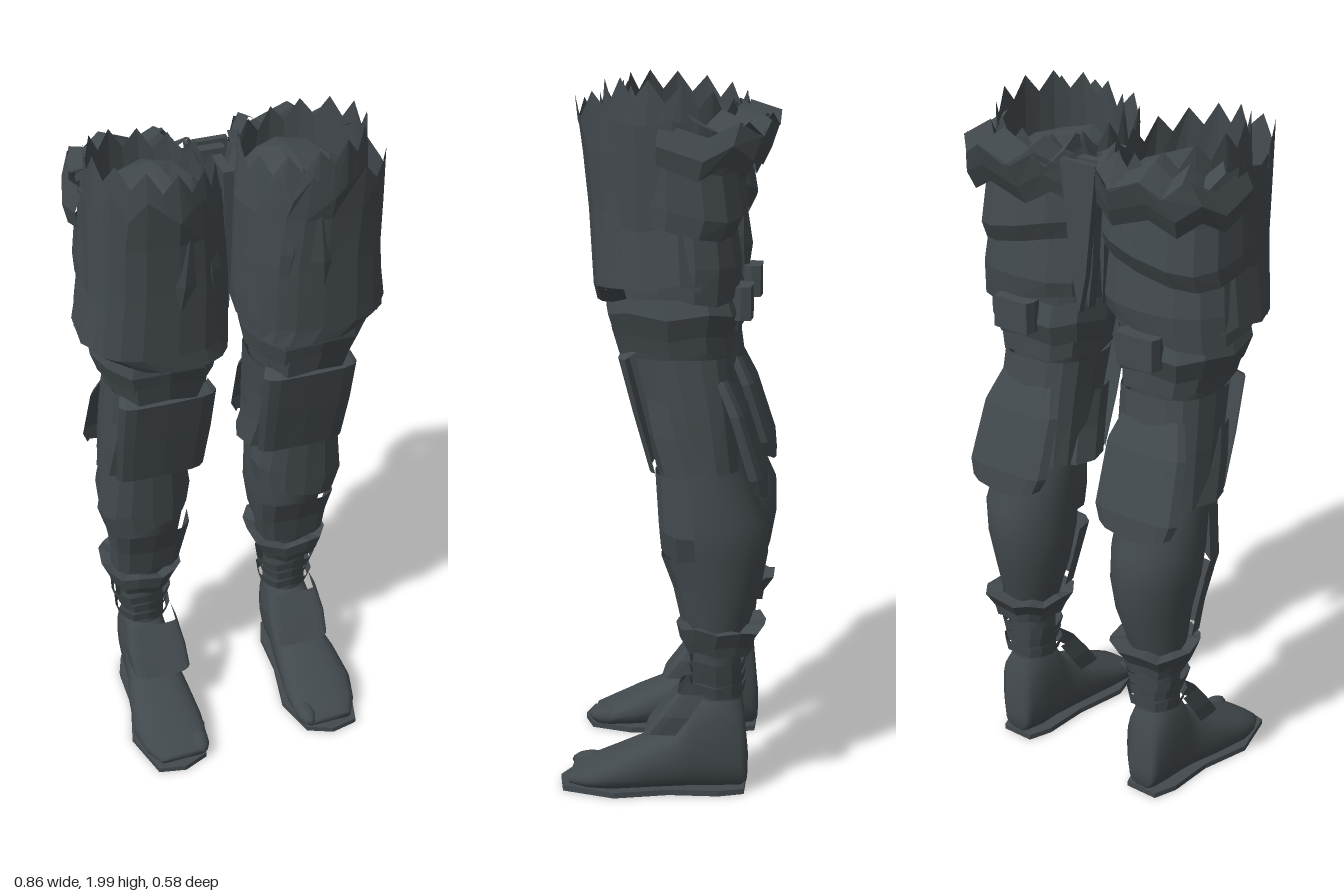
import * as THREE from 'three';

const D = Math.PI / 180;

// Loft: rows of [y, xMin, xMax, zMin, zMax] from low to high. Angle 0 is +x, 90 is +z.
// p < 1 makes the section boxy; lift(angle, row, column) shifts y for slanted or torn edges.
function loft(rows, { n = 16, from = 0, to = 360, p = 1, flat = true, cap = '', lift = () => 0 } = {}) {
  const closed = to - from >= 360, cols = closed ? n : n + 1;
  const pos = [], idx = [];
  const pw = (v) => Math.sign(v) * Math.pow(Math.abs(v), p);
  rows.forEach(([y, x0, x1, z0, z1], i) => {
    for (let j = 0; j < cols; j++) {
      const a = (from + (to - from) * j / n) * D;
      pos.push((x0 + x1) / 2 + (x1 - x0) / 2 * pw(Math.cos(a)), y + lift(a / D, i, j),
        (z0 + z1) / 2 + (z1 - z0) / 2 * pw(Math.sin(a)));
    }
  });
  for (let i = 0; i < rows.length - 1; i++) {
    for (let j = 0; j < n; j++) {
      const a = i * cols + j, b = i * cols + (j + 1) % cols;
      idx.push(a, a + cols, b, b, a + cols, b + cols);
    }
  }
  const addCap = (i, up) => {
    const [y, x0, x1, z0, z1] = rows[i], c = pos.length / 3;
    pos.push((x0 + x1) / 2, y, (z0 + z1) / 2);
    for (let j = 0; j < n; j++) {
      const a = i * cols + j, b = i * cols + (j + 1) % cols;
      idx.push(...(up ? [c, b, a] : [c, a, b]));
    }
  };
  if (cap.includes('b')) addCap(0, false);
  if (cap.includes('t')) addCap(rows.length - 1, true);
  let g = new THREE.BufferGeometry();
  g.setAttribute('position', new THREE.Float32BufferAttribute(pos, 3));
  g.setIndex(idx);
  if (flat) g = g.toNonIndexed();
  g.computeVertexNormals();
  return g;
}

// Mirrored copy across x with the corner order turned round
function mirror(src) {
  const g = src.index ? src.toNonIndexed() : src.clone();
  for (const key of ['position', 'normal']) {
    const at = g.attributes[key];
    for (let i = 0; i < at.count; i += 3) {
      const v = [0, 2, 1].map((k) => [-at.getX(i + k), at.getY(i + k), at.getZ(i + k)]);
      v.forEach((q, k) => at.setXYZ(i + k, ...q));
    }
  }
  return g;
}

export function createModel() {
  const model = new THREE.Group();
  const left = new THREE.Group(), right = new THREE.Group();
  left.name = 'leftLeg';
  right.name = 'rightLeg';
  model.add(left, right);
  const slate = new THREE.MeshStandardMaterial({ color: 0x42494d, side: THREE.DoubleSide });
  slate.name = 'dark slate';

  const add = (name, g) => {
    const a = new THREE.Mesh(g, slate), b = new THREE.Mesh(mirror(g), slate);
    a.name = b.name = name;
    left.add(a);
    right.add(b);
  };
  const part = (name, rows, opts) => add(name, loft(rows, opts));
  const zig = (h) => (a, i, j) => (j % 2 ? h : -h) * (0.6 + 0.4 * Math.sin(j * 2.3));

  // Limb under the armour
  part('thigh', [
    [1.2, 0.10, 0.32, -0.18, 0.09], [1.3, 0.08, 0.34, -0.18, 0.12], [1.5, 0.04, 0.37, -0.19, 0.15],
    [1.7, 0.03, 0.37, -0.19, 0.16], [1.8, 0.03, 0.365, -0.19, 0.155]], { flat: false, n: 24 });
  part('thighTop', [[1.8, 0.03, 0.365, -0.19, 0.155], [1.85, 0.09, 0.29, -0.16, 0.1], [1.87, 0.16, 0.19, -0.1, 0.08]],
    { n: 8, cap: 't' });
  part('calf', [
    [0.28, 0.17, 0.30, -0.22, -0.08], [0.42, 0.17, 0.30, -0.215, -0.08], [0.5, 0.15, 0.32, -0.24, -0.06],
    [0.6, 0.12, 0.33, -0.27, -0.035], [0.7, 0.105, 0.35, -0.288, -0.01], [0.8, 0.105, 0.36, -0.285, 0.0],
    [0.92, 0.105, 0.35, -0.23, 0.015], [1.05, 0.105, 0.34, -0.2, 0.04], [1.2, 0.10, 0.33, -0.18, 0.08]],
  { flat: false, n: 24 });

  // Torn thigh wrap, higher on the outside, and its overlapping bands
  part('thighWrap', [
    [1.42, 0.03, 0.40, -0.19, 0.16], [1.6, 0.02, 0.395, -0.19, 0.17],
    [1.78, 0.02, 0.385, -0.2, 0.175], [1.92, 0.04, 0.375, -0.2, 0.165]],
  { n: 26, lift: (a, i, j) => i < 3 ? 0 : (j % 2 ? 0.035 : -0.02) + 0.04 * Math.cos((a - 40) * D) - 0.005 });
  part('upperBackBand', [
    [1.75, 0.02, 0.41, -0.245, 0.12], [1.8, 0.03, 0.42, -0.27, 0.13], [1.86, 0.05, 0.395, -0.29, 0.13]],
  { n: 9, from: 160, to: 375, p: 0.75, lift: (a, i, j) => (j % 2 ? 0.02 : -0.02) });
  part('upperBackCollar', [[1.86, 0.05, 0.395, -0.29, 0.1], [1.89, 0.06, 0.36, -0.2, 0.08]],
    { n: 9, from: 180, to: 360, p: 0.75, lift: (a, i, j) => (j % 2 ? 0.02 : -0.02) });
  part('middleBackBand', [
    [1.6, 0.015, 0.41, -0.2, 0.14], [1.65, 0.015, 0.41, -0.225, 0.15], [1.77, 0.02, 0.4, -0.205, 0.14]],
  { n: 10, from: 150, to: 385, p: 0.8, lift: (a) => 0.03 * Math.sin(a * 2 * D) });
  part('lowerBackBand', [
    [1.43, 0.02, 0.42, -0.2, 0.14], [1.5, 0.015, 0.415, -0.21, 0.15], [1.63, 0.02, 0.4, -0.19, 0.14]],
  { n: 10, from: 150, to: 390, p: 0.8, lift: (a, i) => i ? 0 : 0.03 * Math.sin(a * 2 * D) });
  part('outerHipPlate', [
    [1.45, 0.03, 0.43, -0.17, 0.17], [1.6, 0.02, 0.405, -0.16, 0.18], [1.87, 0.02, 0.4, -0.14, 0.18]],
  { n: 4, from: -35, to: 50, p: 0.7, lift: zig(0.015) });

  // Front thigh apron with raised folds and a torn top
  part('thighApron', [
    [1.4, 0.03, 0.34, -0.13, 0.185], [1.45, 0.025, 0.42, -0.13, 0.187], [1.65, 0.03, 0.4, -0.13, 0.2],
    [1.8, 0.045, 0.395, -0.13, 0.215], [1.91, 0.06, 0.385, -0.12, 0.235]],
  { n: 8, from: 15, to: 170, p: 0.75, lift: (a, i, j) => i < 4 ? 0 : (j % 2 ? 0.03 : -0.035) + 0.02 * Math.cos(a * D) });
  [[0.11, 1.69, 0.175, 0.03, 0.2, -0.12], [0.19, 1.67, 0.195, 0.04, 0.22, 0.1]].forEach(([x, y, z, w, h, r]) =>
    add('apronFold', new THREE.OctahedronGeometry(1).scale(w, h, 0.014).rotateZ(r).rotateX(0.1).translate(x, y, z)));

  // Pleated wedge between the thighs, wide at the back and narrow in front
  [[-0.2, 0.06, 0.02], [-0.16, 0.035, 0.03], [-0.1, 0.015, 0.1]].forEach(([z, w, depth]) => {
    const wedge = new THREE.Shape([[0, 1.44], [w * 0.4, 1.55], [w, 1.86], [0, 1.86]]
      .map((q) => new THREE.Vector2(...q)));
    add('innerThighWedge', new THREE.ExtrudeGeometry(wedge, { depth, bevelEnabled: false }).translate(0, 0, z));
  });

  // Bands above the knee
  part('lowerThighStrap', [
    [1.31, 0.055, 0.37, -0.19, 0.14], [1.37, 0.045, 0.39, -0.21, 0.16], [1.43, 0.05, 0.37, -0.19, 0.16]],
  { n: 12, p: 0.75, lift: zig(0.012) });
  part('backBuckle', [[1.35, 0.15, 0.28, -0.24, -0.18], [1.44, 0.15, 0.28, -0.24, -0.18]],
    { n: 8, p: 0.3, cap: 'bt' });
  part('kneeStrap', [[1.26, 0.075, 0.35, -0.19, 0.13], [1.33, 0.07, 0.365, -0.19, 0.15]],
    { n: 12, p: 0.75, lift: zig(0.014) });

  // Plates around the knee, raked backward toward the bottom
  part('kneeSleeve', [
    [0.94, 0.08, 0.36, -0.215, 0.02], [1.1, 0.075, 0.355, -0.2, 0.06], [1.25, 0.07, 0.345, -0.18, 0.1]],
  { n: 16, p: 0.75 });
  part('frontKneePlate', [
    [0.94, 0.08, 0.345, -0.08, 0.035], [1.1, 0.07, 0.35, -0.04, 0.08],
    [1.25, 0.065, 0.35, -0.02, 0.12], [1.27, 0.08, 0.34, -0.04, 0.09]],
  { n: 6, from: 20, to: 160, p: 0.45 });
  part('backKneePlate', [
    [0.86, 0.11, 0.355, -0.285, -0.17], [0.93, 0.09, 0.37, -0.28, -0.15],
    [1.1, 0.09, 0.355, -0.225, -0.1], [1.19, 0.12, 0.32, -0.18, -0.07]],
  { n: 6, from: 190, to: 350, p: 0.5, lift: (a, i) => i ? 0 : 0.03 * Math.abs(Math.cos(a * D)) });
  part('sideKneeFlare', [
    [0.94, 0.05, 0.375, -0.16, 0.01], [1.04, 0.065, 0.365, -0.13, 0.04], [1.14, 0.07, 0.35, -0.1, 0.06]],
  { n: 10, p: 0.6 });

  // Shin guards
  part('upperShinGuard', [
    [0.74, 0.11, 0.355, -0.18, 0.01], [0.81, 0.10, 0.375, -0.18, 0.015], [0.93, 0.115, 0.355, -0.16, 0.025]],
  { n: 8, from: -5, to: 185, p: 0.85, lift: (a, i) => i === 2 ? 0 : -0.035 * Math.cos(a * D) - 0.01 });
  part('lowerShinGuard', [
    [0.52, 0.13, 0.335, -0.2, -0.045], [0.61, 0.115, 0.34, -0.18, -0.025], [0.7, 0.105, 0.35, -0.17, 0.008]],
  { n: 6, from: 0, to: 180, p: 0.65 });

  // Ankle cuffs
  part('ankleCuff', [
    [0.42, 0.155, 0.325, -0.25, -0.06], [0.45, 0.145, 0.335, -0.255, -0.045],
    [0.495, 0.115, 0.355, -0.285, -0.035], [0.49, 0.15, 0.32, -0.23, -0.07]],
  { n: 14, p: 0.75, lift: zig(0.009) });
  [[0.38, 0.145, 0.33], [0.345, 0.155, 0.315], [0.31, 0.15, 0.32]].forEach(([y, x0, x1]) =>
    part('ankleRing', [[y - 0.02, x0 + 0.01, x1 - 0.01, -0.225, -0.08], [y + 0.015, x0, x1, -0.23, -0.07]],
      { n: 12, p: 0.8, lift: zig(0.006) }));

  // Foot, lofted from heel to toe; each row is [z, xMin, xMax, -top, -bottom]
  const foot = loft([
    [-0.235, 0.2, 0.28, -0.12, -0.03], [-0.22, 0.18, 0.3, -0.28, -0.015], [-0.16, 0.165, 0.31, -0.32, -0.008],
    [-0.09, 0.165, 0.315, -0.28, -0.008], [-0.04, 0.16, 0.32, -0.19, -0.008], [0.04, 0.15, 0.34, -0.155, -0.008],
    [0.14, 0.14, 0.355, -0.105, -0.008], [0.21, 0.145, 0.34, -0.07, -0.008], [0.265, 0.17, 0.31, -0.045, -0.015]],
  { n: 18, p: 0.8, flat: false, cap: 'bt' }).rotateX(Math.PI / 2);
  add('foot', foot);
  add('bigToe', new THREE.SphereGeometry(1, 12, 8).scale(0.03, 0.028, 0.06).translate(0.175, 0.04, 0.215));
  const sole = new THREE.Shape([[0.19, 0.23], [0.29, 0.23], [0.315, 0.16], [0.32, 0.02], [0.36, -0.13],
    [0.32, -0.28], [0.24, -0.297], [0.165, -0.265], [0.13, -0.14], [0.16, 0.02], [0.165, 0.16]]
    .map((q) => new THREE.Vector2(...q)));
  add('sole', new THREE.ExtrudeGeometry(sole, { depth: 0.016, bevelEnabled: false })
    .rotateX(-Math.PI / 2).translate(0, 0.004, 0));

  // Slanted box plate over the instep
  part('instepPlate', [
    [0.17, 0.14, 0.315, -0.06, 0.055], [0.235, 0.14, 0.32, -0.1, 0.01], [0.3, 0.15, 0.31, -0.14, -0.04]],
  { n: 12, from: -15, to: 195, p: 0.35, lift: (a, i, j) => (i ? 0 : 0.01 * Math.abs(Math.cos(a * D))) });

  return model;
}
